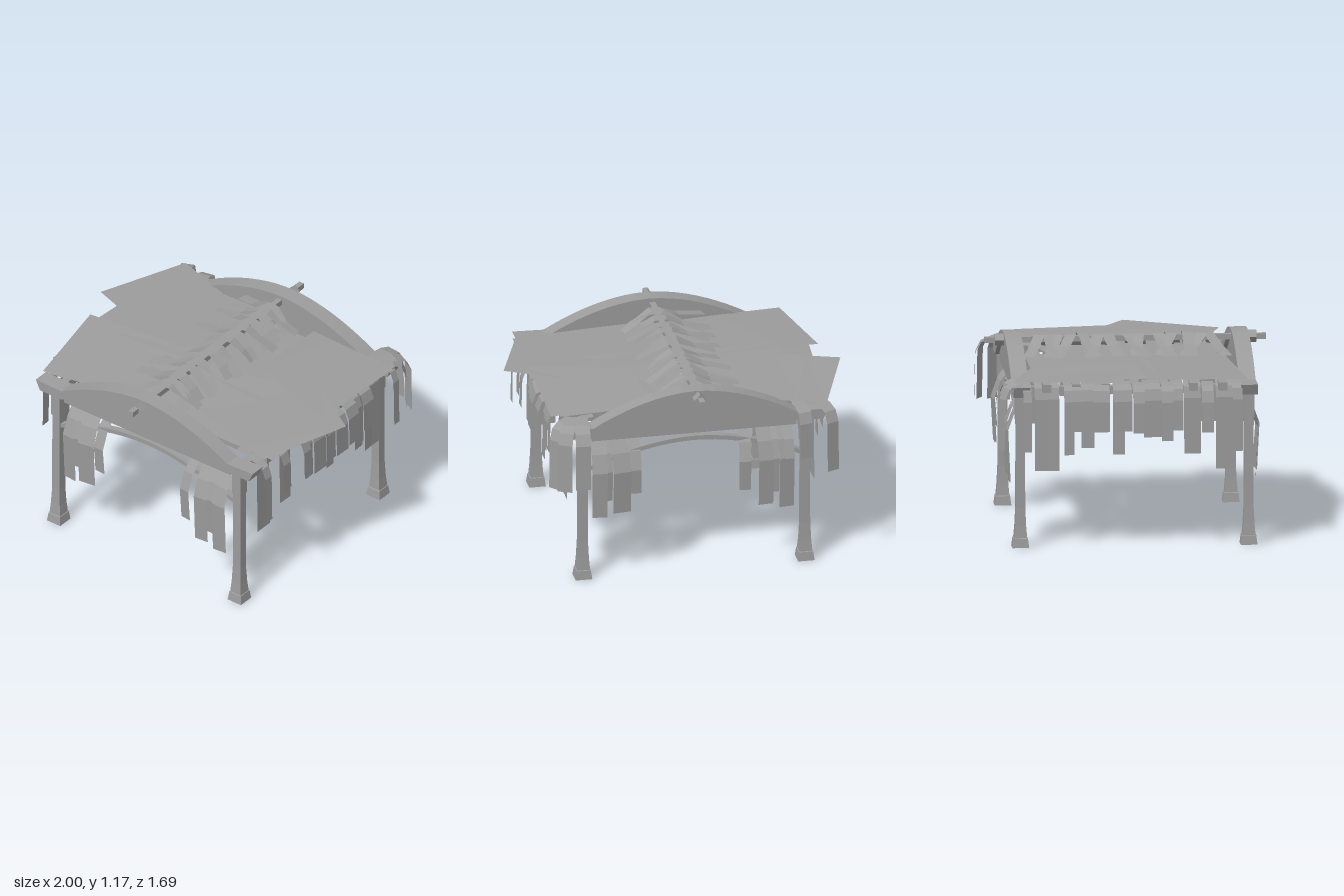
import * as THREE from 'three';

const grey = new THREE.MeshStandardMaterial({ color: 0x9c9c9c, side: THREE.DoubleSide });
grey.name = 'weathered grey';

export function createModel() {
  const model = new THREE.Group();
  model.name = 'thatchedPavilion';

  function add(geo, name, x = 0, y = 0, z = 0) {
    const m = new THREE.Mesh(geo, grey);
    m.name = name;
    m.position.set(x, y, z);
    model.add(m);
    return m;
  }
  const box = (w, h, d, name, x, y, z) => add(new THREE.BoxGeometry(w, h, d), name, x, y, z);

  // Ribbon between two matching rows of points, bent along its length
  function ribbon(rowA, rowB, name) {
    const pos = [], idx = [];
    rowA.forEach((p, i) => {
      pos.push(...p, ...rowB[i]);
      if (i) idx.push(2 * i - 2, 2 * i, 2 * i - 1, 2 * i - 1, 2 * i, 2 * i + 1);
    });
    const g = new THREE.BufferGeometry();
    g.setAttribute('position', new THREE.Float32BufferAttribute(pos, 3));
    g.setIndex(idx);
    const flat = g.toNonIndexed();
    flat.computeVertexNormals();
    return add(flat, name);
  }

  // Square loft through [half width, y] rings
  function squareLoft(rings) {
    const g = new THREE.LatheGeometry(rings.map(([h, y]) => new THREE.Vector2(h * Math.SQRT2, y)), 4);
    g.rotateY(Math.PI / 4);
    const flat = g.toNonIndexed();
    flat.computeVertexNormals();
    return flat;
  }

  // Posts with flared feet
  const postGeo = squareLoft([[0, 0.02], [0.05, 0], [0.043, 0.055], [0.039, 0.058], [0.033, 0.13],
    [0.028, 0.24], [0.027, 0.77], [0.032, 0.77], [0.032, 0.93], [0, 0.93]]);
  for (const x of [-0.675, 0.675]) for (const z of [-0.672, 0.69]) add(postGeo, 'post', x, 0, z);

  // Gable: arched band with a recessed panel inside it
  const arc = (w, base, peak, n = 20) => Array.from({ length: n + 1 }, (_, i) => {
    const t = -1 + 2 * i / n;
    return new THREE.Vector2(t * w, peak - (peak - base) * Math.pow(Math.abs(t), 1.85));
  });
  const band = new THREE.Shape([
    new THREE.Vector2(-0.81, 0.985), ...arc(0.62, 0.98, 1.17), new THREE.Vector2(0.81, 0.985),
    new THREE.Vector2(0.78, 0.92), ...arc(0.62, 0.92, 1.11).reverse(), new THREE.Vector2(-0.78, 0.92)]);
  const panel = new THREE.Shape([new THREE.Vector2(-0.62, 0.887), ...arc(0.62, 0.93, 1.12), new THREE.Vector2(0.62, 0.887)]);
  const extrude = (s, depth) => new THREE.ExtrudeGeometry(s, { depth, bevelEnabled: false }).translate(0, 0, -depth / 2);
  const bandGeo = extrude(band, 0.1), panelGeo = extrude(panel, 0.05);

  // Slim bowed brace under each gable
  const brace = arc(0.66, 0.71, 0.865);
  const braceGeo = extrude(new THREE.Shape([...brace, ...brace.map(p => new THREE.Vector2(p.x, p.y - 0.027)).reverse()]), 0.04);
  for (const z of [-0.67, 0.687]) {
    add(bandGeo, 'gableArch', 0, 0, z);
    add(panelGeo, 'gablePanel', 0, 0, z);
    add(braceGeo, 'archBrace', 0, 0, z);
  }

  // Ridge pole with collars outside the gables
  box(0.034, 0.034, 1.68, 'ridgePole', -0.02, 1.13, 0.005);
  for (const z of [-0.745, 0.76]) {
    box(0.052, 0.052, 0.055, 'ridgeCollar', -0.02, 1.13, z).rotation.z = Math.PI / 4;
  }

  // Side beams and crosswise rafters
  for (const x of [-0.68, 0.68]) box(0.05, 0.05, 1.3, 'sideBeam', x, 0.945, 0.005);
  for (let i = 0; i < 7; i++) {
    const z = -0.52 + i * 0.175;
    for (const s of [-1, 1]) {
      box(0.78, 0.05, 0.05, 'rafter', s * 0.39, 0.985, z).rotation.z = -s * 0.035;
    }
  }

  // Roof sheets: plan corners (inner back, outer back, outer front, inner front), inner and outer lift
  function sheet([a, b, c, d], liftIn, liftOut) {
    const row = (p, q) => [0, 0.25, 0.5, 0.75, 1].map(t => {
      const x = p[0] + (q[0] - p[0]) * t, z = p[1] + (q[1] - p[1]) * t;
      return [x, 1.06 + liftIn + (liftOut - liftIn) * t - 0.02 * x * x - 0.06 * z * z, z];
    });
    ribbon(row(a, b), row(d, c), 'roofSheet');
  }
  sheet([[-0.12, -0.5], [-0.8, -0.72], [-1, -0.15], [-0.22, 0.12]], -0.025, 0.006);
  sheet([[-0.02, -0.6], [-0.82, -0.58], [-0.86, 0.15], [-0.02, 0.1]], -0.004, -0.004);
  sheet([[-0.02, 0], [-0.91, 0.07], [-0.8, 0.68], [-0.02, 0.58]], -0.008, 0);
  sheet([[0.25, -0.6], [0.85, -0.59], [0.84, 0.1], [0.24, -0.1]], 0.002, 0);
  sheet([[-0.02, -0.45], [0.55, -0.58], [0.8, 0.2], [-0.02, 0.15]], -0.01, -0.014);
  sheet([[0.17, -0.42], [1, 0.07], [0.8, 0.63], [0.2, 0.45]], -0.012, 0.003);
  sheet([[-0.02, 0.02], [0.86, -0.05], [0.84, 0.58], [-0.02, 0.62]], -0.006, -0.014);

  // Leaves folded over the ridge pole: [z, left skew, right skew, width]
  const ridgeLeaves = [[-0.51, -0.08, 0.06, 0.065], [-0.46, 0.03, -0.04, 0.06], [-0.4, -0.07, 0.05, 0.065],
    [-0.32, -0.1, 0.05, 0.065], [-0.25, 0.07, -0.04, 0.065], [-0.16, -0.06, 0.04, 0.07],
    [-0.1, 0.05, -0.03, 0.07], [0.02, 0.09, 0.04, 0.075], [0.08, -0.03, 0.03, 0.07], [0.2, 0.06, 0.08, 0.075],
    [0.28, -0.09, 0.04, 0.065], [0.38, 0, 0.02, 0.075], [0.46, -0.12, 0.08, 0.07], [0.5, 0.09, -0.05, 0.065]];
  ridgeLeaves.forEach(([z, l, r, w], i) => {
    const left = -0.28 - 0.04 * (i % 2), right = 0.16 + 0.04 * (i % 3 === 1);
    const path = [[left, 1.07, z + l], [-0.15, 1.108, z + l * 0.45], [-0.05, 1.16, z], [0.02, 1.16, z],
      [0.1, 1.112, z + r * 0.5], [right, 1.055, z + r]];
    // Widen square to the direction of each half, blending over the fold
    const turnL = Math.atan2(l, 0.02 - left), turnR = -Math.atan2(r, right);
    const turns = [turnL, turnL, (turnL + turnR) / 2, (turnL + turnR) / 2, turnR, turnR];
    const side = k => path.map(([x, y, q], j) =>
      [x + k * w / 2 * Math.sin(turns[j]), y, q + k * w / 2 * Math.cos(turns[j])]);
    ribbon(side(-1), side(1), 'ridgeLeaf');
  });

  // Leaf hanging over an edge: profile of [reach, y], turned about y by yaw
  function hanging(profile, width, x, z, yaw, name) {
    const row = k => profile.map(([u, y]) => [k * width / 2, y, u]);
    const m = ribbon(row(-1), row(1), name);
    m.position.set(x, 0, z);
    m.rotation.y = yaw;
  }
  const drape = (end, reach = 0.16, top = 1) => [[0, top], [reach * 0.5, top - 0.008], [reach * 0.82, top - 0.035],
    [reach * 0.97, top - 0.1], [reach, end]];

  // Side fringe: [z, width, bottom y, inset on the left side of the model, inset on its right]
  const fringe = [[0.61, 0.06, 0.59, 0.02, 0.03], [0.55, 0.12, 0.47, 0.11, 0.11], [0.435, 0.07, 0.72, 0.02, -0.05],
    [0.345, 0.1, 0.565, 0.1, 0.1], [0.255, 0.07, 0.72, 0, 0.02], [0.195, 0.07, 0.67, 0.04, -0.05],
    [0.105, 0.11, 0.68, 0.02, 0.03], [0.02, 0.07, 0.72, 0, -0.05], [-0.085, 0.07, 0.565, 0.1, 0.1],
    [-0.075, 0.11, 0.72, -0.01, 0.01], [-0.2, 0.1, 0.72, 0, 0], [-0.275, 0.08, 0.62, 0.03, 0.03],
    [-0.39, 0.06, 0.565, 0.1, 0.1], [-0.37, 0.1, 0.72, 0.02, 0.02], [-0.48, 0.08, 0.47, 0.11, 0.11],
    [-0.55, 0.09, 0.47, 0.11, 0.11], [-0.64, 0.05, 0.6, 0.02, 0.02]];
  fringe.forEach(([z, w, end, insetL, insetR], i) => {
    const turn = 0.03 * (i % 3 - 1);
    hanging(drape(end), w, 0.7 - insetL, z, Math.PI / 2 + turn, 'leftFringeLeaf');
    hanging(drape(end), w, insetR - 0.7, z, -Math.PI / 2 - turn, 'rightFringeLeaf');
  });

  // Gable fringe hung under the arch: [x, width, bottom y, yaw]
  const gableFringe = [[-0.54, 0.12, 0.48, 0.06], [-0.535, 0.09, 0.38, -0.1], [-0.435, 0.11, 0.405, 0.12],
    [-0.325, 0.07, 0.515, -0.05], [0.35, 0.07, 0.48, -0.12], [0.445, 0.09, 0.38, 0.08],
    [0.505, 0.09, 0.45, -0.06], [0.57, 0.09, 0.35, 0.1], [0.6, 0.06, 0.7, 0]];
  const swag = end => [[0, 0.9], [0.06, 0.872], [0.12, 0.8], [0.16, 0.69], [0.145, end]];
  gableFringe.forEach(([x, w, end, yaw], i) => {
    const step = 0.008 * (i % 3);
    hanging(swag(end), w, x, (x < 0 ? 0.59 : 0.615) + step, yaw, 'frontFringeLeaf');
    hanging(swag(end + 0.02), w, 0.03 - x, -0.575 - step, Math.PI + yaw, 'backFringeLeaf');
  });

  // Long leaves folded over the back corners: [x, width, yaw offset, bottom y, reach]
  [[-0.75, 0.08, 0.4, 0.61, 0.19], [-0.63, 0.08, 0.2, 0.7, 0.17],
    [0.68, 0.09, -0.1, 0.64, 0.22], [0.72, 0.09, -0.45, 0.62, 0.2],
    [0.73, 0.08, -0.9, 0.61, 0.16]].forEach(([x, w, turn, end, reach]) => {
    hanging(drape(end, reach, 1.02), w, x, -0.62, Math.PI + turn, 'backCornerLeaf');
  });

  return model;
}
